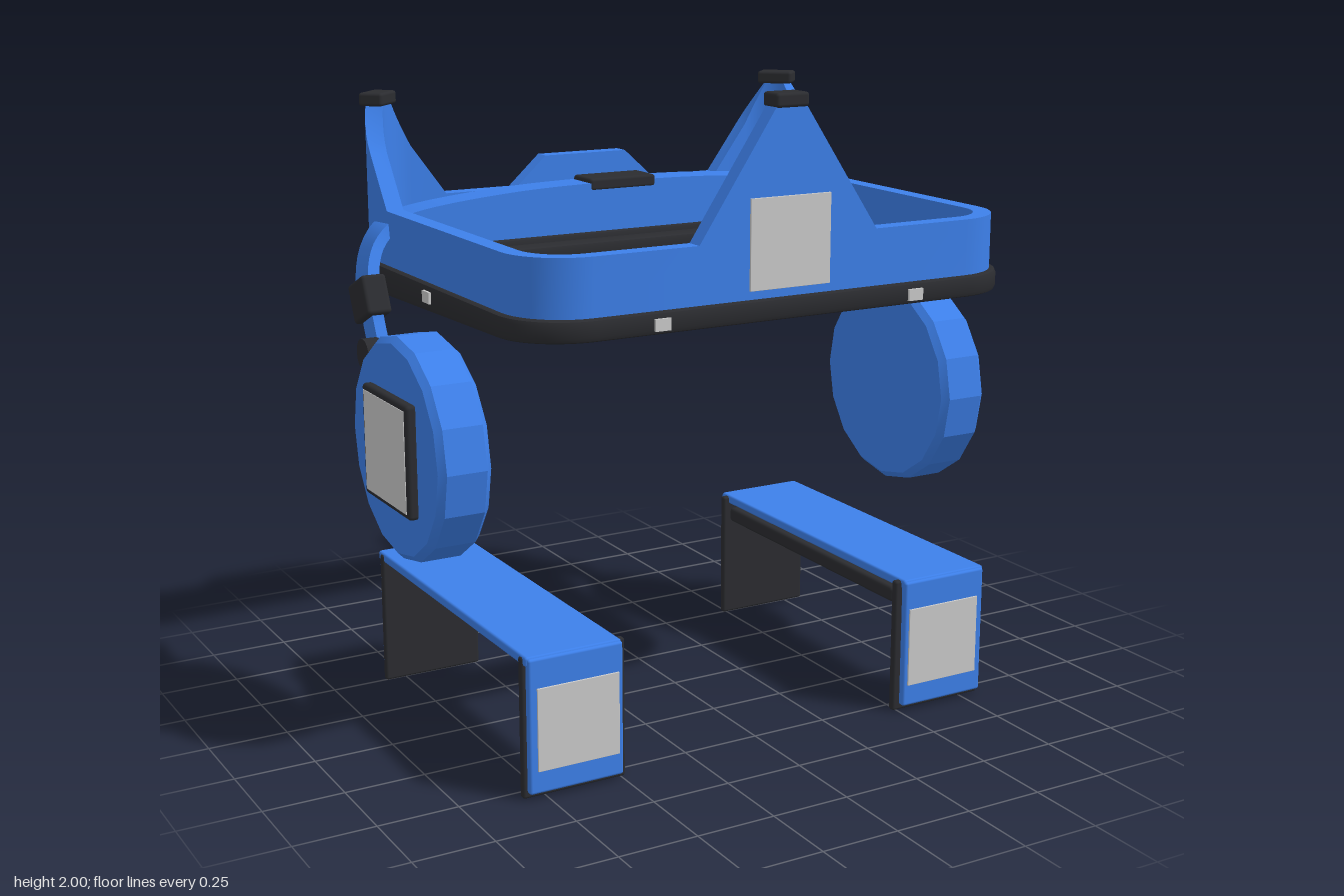
import * as THREE from 'three';
import { toCreasedNormals } from 'three/addons/utils/BufferGeometryUtils.js';
import { RoundedBoxGeometry } from 'three/addons/geometries/RoundedBoxGeometry.js';

const blue = new THREE.MeshStandardMaterial({ color: 0x3d80ea });
const black = new THREE.MeshStandardMaterial({ color: 0x2b2c30 });
const grey = new THREE.MeshStandardMaterial({ color: 0xcccccc });

function add(parent, name, geometry, material, x = 0, y = 0, z = 0) {
  const mesh = new THREE.Mesh(geometry, material);
  mesh.name = name;
  mesh.position.set(x, y, z);
  parent.add(mesh);
  return mesh;
}

const rbox = (w, h, d, r = 0.01) => new RoundedBoxGeometry(w, h, d, 2, r);

// Box given by its limits on each axis
function slab(parent, name, material, [x0, x1], [y0, y1], [z0, z1], r = 0.008) {
  const w = x1 - x0, h = y1 - y0, d = z1 - z0;
  return add(parent, name, rbox(w, h, d, Math.min(r, w / 3, h / 3, d / 3)), material,
    (x0 + x1) / 2, (y0 + y1) / 2, (z0 + z1) / 2);
}

// Skin a list of four-point sections, as a closed ring or a capped strip
function skin(sections, closed) {
  const pos = [];
  const tri = (...p) => p.forEach((v) => pos.push(v.x, v.y, v.z));
  const n = sections.length;
  for (let i = 0; i < (closed ? n : n - 1); i++) {
    const a = sections[i], b = sections[(i + 1) % n];
    for (let j = 0; j < 4; j++) {
      const k = (j + 1) % 4;
      tri(a[j], b[j], b[k]);
      tri(a[j], b[k], a[k]);
    }
  }
  if (!closed) {
    const a = sections[0], b = sections[n - 1];
    tri(a[0], a[1], a[2]); tri(a[0], a[2], a[3]);
    tri(b[0], b[2], b[1]); tri(b[0], b[3], b[2]);
  }
  const g = new THREE.BufferGeometry();
  g.setAttribute('position', new THREE.Float32BufferAttribute(pos, 3));
  return toCreasedNormals(g, 0.5);
}

function roundRect(target, hx, hz, r) {
  target.moveTo(hx, -hz + r);
  target.absarc(hx - r, hz - r, r, 0, Math.PI / 2);
  target.absarc(-hx + r, hz - r, r, Math.PI / 2, Math.PI);
  target.absarc(-hx + r, -hz + r, r, Math.PI, Math.PI * 1.5);
  target.absarc(hx - r, -hz + r, r, Math.PI * 1.5, Math.PI * 2);
  return target;
}

// Flat rounded frame whose underside rises by `rise` towards the front
function frame(outer, inner, y0, y1, bevel, rise) {
  const shape = roundRect(new THREE.Shape(), ...outer);
  shape.holes.push(roundRect(new THREE.Path(), ...inner));
  const g = new THREE.ExtrudeGeometry(shape, {
    depth: y1 - y0 - 2 * bevel, bevelSize: bevel, bevelThickness: bevel,
    bevelOffset: -bevel, bevelSegments: 2, curveSegments: 10,
  });
  g.rotateX(-Math.PI / 2).translate(0, y0 + bevel, 0);
  const p = g.attributes.position;
  for (let i = 0; i < p.count; i++) {
    if (p.getY(i) < (y0 + y1) / 2) p.setY(i, p.getY(i) + rise * (p.getZ(i) / 1.36 + 0.5));
  }
  return toCreasedNormals(g, 0.6);
}

// Crown wall: a rounded rectangle with a varying top edge
function crownWall() {
  const HX = 0.82, HZ = 0.66, R = 0.19, T = 0.055, low = 1.4, base = 1.59;
  const half = [];
  const put = (x, z, nx, nz, h) => half.push({ x, z, nx, nz, h });
  const corner = (s) => base + 0.31 * THREE.MathUtils.clamp((0.27 - s) / 0.23, 0, 1);
  put(0, HZ, 0, 1, 1.97);
  put(0.045, HZ, 0, 1, 1.97);
  put(0.3, HZ, 0, 1, base);
  for (let i = 0; i <= 10; i++) {
    const a = (i / 10) * Math.PI / 2, s = Math.sin(a), c = Math.cos(a);
    put(HX - R + R * s, HZ - R + R * c, s, c, base);
  }
  put(HX, -0.35, 1, 0, base);
  for (let i = 0; i <= 14; i++) {
    const a = (i / 14) * Math.PI / 2, s = Math.sin(a), c = Math.cos(a);
    put(HX - R + R * c, -HZ + R - R * s, c, -s, corner(R * Math.abs(a - Math.PI / 4)));
  }
  put(0.51, -HZ, 0, -1, base);
  put(0.26, -HZ, 0, -1, base);
  put(0.15, -HZ, 0, -1, 1.69);
  put(0, -HZ, 0, -1, 1.69);
  const mirrored = half.slice(1, -1).reverse().map((p) => ({ ...p, x: -p.x, nx: -p.nx }));
  return skin([...half, ...mirrored].map(({ x, z, nx, nz, h }) => {
    const ix = x - nx * T, iz = z - nz * T;
    return [new THREE.Vector3(x, low, z), new THREE.Vector3(x, h, z),
      new THREE.Vector3(ix, h, iz), new THREE.Vector3(ix, low, iz)];
  }), true);
}

// Strap over the top that bends down into the two cup arms
function headband() {
  const right = [[0.4, 1.6, -0.4], [0.72, 1.565, -0.4], [0.8, 1.54, -0.4], [0.86, 1.48, -0.38],
    [0.893, 1.4, -0.345], [0.9, 1.33, -0.313], [0.9, 1.15, -0.232]];
  const points = [...right.map(([x, y, z]) => [-x, y, z]).reverse(), [0, 1.61, -0.4], ...right];
  const curve = new THREE.CatmullRomCurve3(points.map((p) => new THREE.Vector3(...p)));
  const N = 90, sections = [];
  for (let i = 0; i <= N; i++) {
    const c = curve.getPointAt(i / N), t = curve.getTangentAt(i / N);
    const tilt = 0.43 * THREE.MathUtils.clamp((1.56 - c.y) / 0.16, 0, 1);
    const w = new THREE.Vector3(0, Math.sin(tilt), Math.cos(tilt));
    const n = w.clone().cross(t).normalize().multiplyScalar(0.018);
    w.multiplyScalar(c.y < 1.3 ? 0.045 : 0.06);
    sections.push([[1, -1], [1, 1], [-1, 1], [-1, -1]].map(([a, b]) =>
      c.clone().addScaledVector(w, a).addScaledVector(n, b)));
  }
  return skin(sections, false);
}

// Sixteen-sided cup with chamfered rims, axis along x
function cupGeometry() {
  const profile = [[0, -0.083], [0.322, -0.083], [0.342, -0.063], [0.342, 0.063], [0.322, 0.083], [0, 0.083]];
  const g = new THREE.LatheGeometry(profile.map((p) => new THREE.Vector2(...p)), 16);
  return toCreasedNormals(g.rotateZ(-Math.PI / 2), 0.3);
}

function earCup(side) {
  const g = new THREE.Group();
  g.name = side > 0 ? 'leftEarCup' : 'rightEarCup';
  add(g, 'cup', cupGeometry(), blue, side * 0.885, 0.94, 0.018);
  add(g, 'screenFrame', rbox(0.036, 0.345, 0.345, 0.012), black, side * 0.98, 0.94, 0.018);
  add(g, 'screen', new THREE.BoxGeometry(0.006, 0.31, 0.31), grey, side * 0.997, 0.94, 0.018);
  add(g, 'armClamp', rbox(0.08, 0.125, 0.135, 0.012), black, side * 0.9, 1.33, -0.313).rotation.x = -0.43;
  for (const x of [0.86, 0.94]) {
    const knob = new THREE.CylinderGeometry(0.05, 0.05, 0.05, 16).rotateZ(Math.PI / 2);
    add(g, 'hingeKnob', toCreasedNormals(knob, 0.6), black, side * x, 1.18, -0.22);
  }
  return g;
}

// Bridge-shaped cover: top plate, two screened end panels and an inner bar
function wristCover(side) {
  const g = new THREE.Group();
  g.name = side > 0 ? 'leftCover' : 'rightCover';
  const X = (a, b) => (side > 0 ? [a, b] : [-b, -a]);
  slab(g, 'topPlate', blue, X(0.505, 0.815), [0.41, 0.44], [-0.54, 0.57]);
  slab(g, 'innerBar', black, X(0.5, 0.6), [0.35, 0.4], [-0.48, 0.51], 0.012);
  for (const end of [1, -1]) {
    const Z = (a, b) => (end > 0 ? [0.018 + a, 0.018 + b] : [0.018 - b, 0.018 - a]);
    slab(g, 'endBacking', black, X(0.485, 0.82), [0, 0.435], Z(0.51, 0.535));
    slab(g, 'endPanel', blue, X(0.505, 0.81), [0.02, 0.435], Z(0.535, 0.561));
    slab(g, 'endScreen', grey, X(0.52, 0.785), [0.09, 0.345], Z(0.555, 0.566), 0.001);
  }
  return g;
}

export function createModel() {
  const model = new THREE.Group();
  model.name = 'crownHeadset';

  const crown = new THREE.Group();
  crown.name = 'crown';
  model.add(crown);
  add(crown, 'wall', crownWall(), blue);
  add(crown, 'trim', frame([0.84, 0.68, 0.21], [0.75, 0.59, 0.13], 1.32, 1.42, 0.015, 0.035), black);
  add(crown, 'cushion', frame([0.78, 0.62, 0.16], [0.68, 0.515, 0.07], 1.33, 1.4, 0.012, 0.03), black);
  slab(crown, 'frontScreen', grey, [-0.135, 0.135], [1.445, 1.71], [0.65, 0.666], 0.001);
  slab(crown, 'backScreen', grey, [-0.12, 0.12], [1.43, 1.675], [-0.666, -0.65], 0.001);
  add(crown, 'frontCap', rbox(0.11, 0.042, 0.078), black, 0, 1.979, 0.63);

  for (const side of [1, -1]) {
    add(crown, 'cornerCap', rbox(0.12, 0.042, 0.08), black, side * 0.745, 1.912, -0.585)
      .rotation.y = -side * Math.PI / 4;
    // Small sensors set into the trim
    const sensor = new THREE.BoxGeometry(0.05, 0.035, 0.02);
    add(crown, 'frontSensor', sensor, grey, side * 0.43, 1.385, 0.678);
    add(crown, 'backSensor', sensor, grey, side * 0.365, 1.385, -0.683);
    add(crown, 'sideSensor', sensor, grey, side * 0.838, 1.385, 0).rotation.y = Math.PI / 2;
    model.add(earCup(side), wristCover(side));
  }

  add(model, 'headband', headband(), blue);
  add(model, 'headbandPad', rbox(0.24, 0.04, 0.125), black, 0, 1.622, -0.4);
  return model;
}
